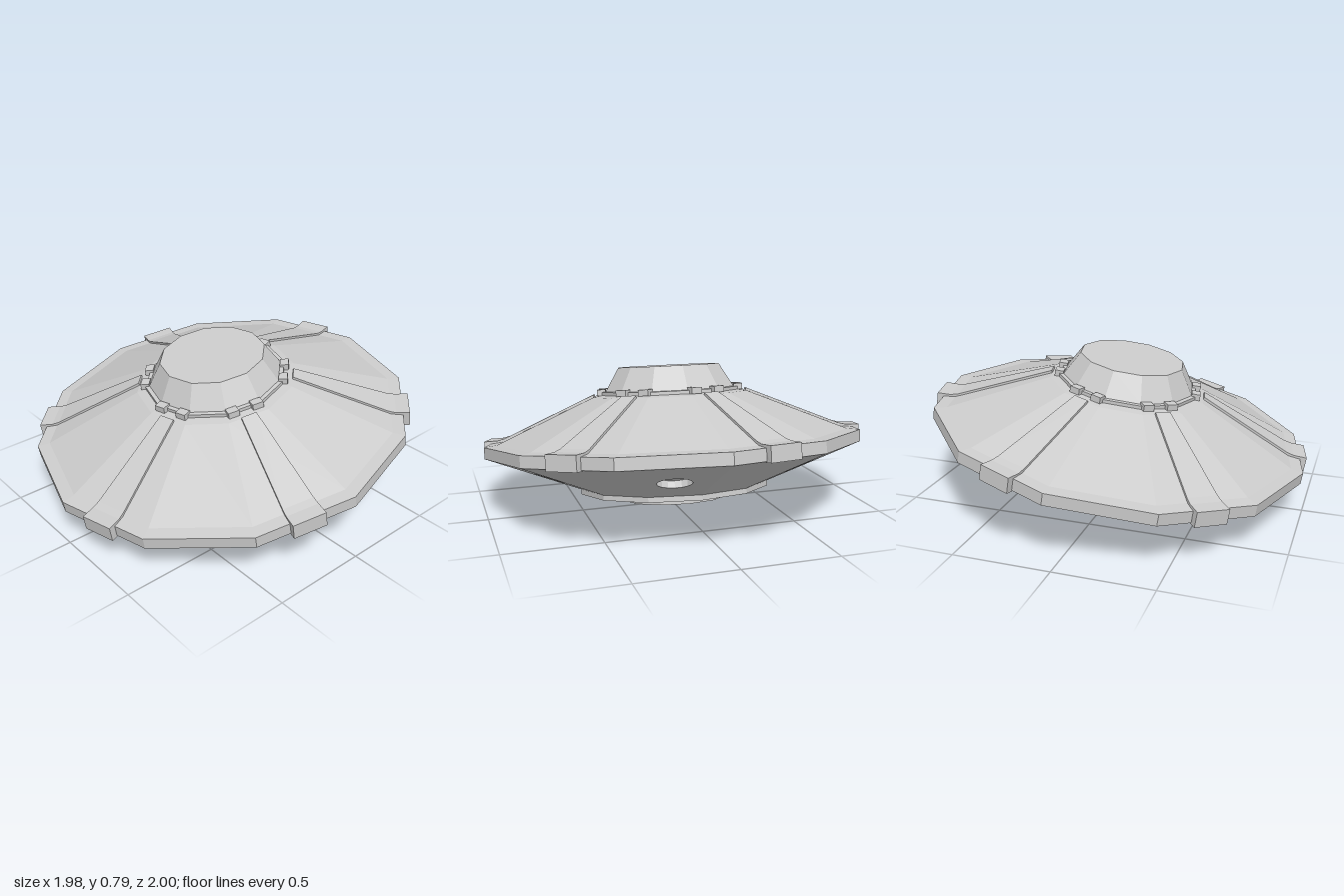
import * as THREE from 'three';

const SIDES = 12;
const STEP = (Math.PI * 2) / SIDES;
const APOTHEM = Math.cos(STEP / 2); // corner radius -> face-centre radius
const material = new THREE.MeshStandardMaterial({ color: 0xcccccc, flatShading: true, side: THREE.DoubleSide });

function part(name, geometry, parent) {
  const flat = geometry.index ? geometry.toNonIndexed() : geometry;
  flat.computeVertexNormals();
  const mesh = new THREE.Mesh(flat, material);
  mesh.name = name;
  parent.add(mesh);
  return mesh;
}

function turned(name, profile, parent) {
  const points = profile.map(([r, y]) => new THREE.Vector2(r, y));
  return part(name, new THREE.LatheGeometry(points, SIDES), parent);
}

// A group whose +x axis points out through the middle of one hull face
function faceGroup(name, index, parent) {
  const group = new THREE.Group();
  group.name = name;
  group.rotation.y = -(index + 0.5) * STEP;
  parent.add(group);
  return group;
}

// Side profile of a rib, extruded across and widened towards the rim
function ribGeometry() {
  const profile = [[0.4, 0.23], [0.41, 0.259], [0.89, 0.05], [0.93, 0.04], [1.0, 0.038], [1.0, -0.04], [0.93, -0.04], [0.88, 0.02]];
  const shape = new THREE.Shape(profile.map(([x, y]) => new THREE.Vector2(x, y)));
  const geometry = new THREE.ExtrudeGeometry(shape, { depth: 2, bevelEnabled: false });
  geometry.translate(0, 0, -1);
  const pos = geometry.attributes.position;
  for (let i = 0; i < pos.count; i++) {
    const t = Math.min(1, (pos.getX(i) - 0.4) / 0.55);
    pos.setZ(i, pos.getZ(i) * THREE.MathUtils.lerp(0.04, 0.086, t));
  }
  return geometry;
}

// Underside
const LOW = { r: 0.51, y: -0.235 };
const HIGH = { r: 1.0, y: -0.035 };
const PORT_RADIUS = 0.085;
const PORT_DEPTH = 0.035;

// One sloping underside panel, optionally with a sunken round port
function undersidePanel(index, hasPort, parent) {
  const face = faceGroup('undersidePanel', index, parent);
  const a0 = LOW.r * APOTHEM;
  const a1 = HIGH.r * APOTHEM;
  const up = new THREE.Vector3(a1 - a0, HIGH.y - LOW.y, 0);
  const length = up.length();
  up.normalize();
  const across = new THREE.Vector3(0, 0, -1);
  const normal = new THREE.Vector3().crossVectors(across, up);

  const plane = new THREE.Group();
  plane.name = 'panelPlane';
  plane.quaternion.setFromRotationMatrix(new THREE.Matrix4().makeBasis(across, up, normal));
  plane.position.set(a0, LOW.y, 0);
  face.add(plane);

  const w0 = LOW.r * Math.sin(STEP / 2);
  const w1 = HIGH.r * Math.sin(STEP / 2);
  const shape = new THREE.Shape([[-w0, 0], [w0, 0], [w1, length], [-w1, length]].map(([x, y]) => new THREE.Vector2(x, y)));
  if (hasPort) {
    const v = ((0.725 - a0) / (a1 - a0)) * length;
    shape.holes.push(new THREE.Path().absarc(0, v, PORT_RADIUS, 0, Math.PI * 2, true));
    const wall = new THREE.CylinderGeometry(PORT_RADIUS, PORT_RADIUS, PORT_DEPTH, 16, 1, true);
    wall.rotateX(Math.PI / 2);
    part('portWall', wall, plane).position.set(0, v, -PORT_DEPTH / 2);
    part('portFloor', new THREE.CircleGeometry(PORT_RADIUS, 16), plane).position.set(0, v, -PORT_DEPTH);
  }
  part('panel', new THREE.ShapeGeometry(shape, 8), plane);
}

export function createModel() {
  const model = new THREE.Group();
  model.name = 'saucer';

  // The whole craft leans to one side
  const craft = new THREE.Group();
  craft.name = 'craft';
  craft.position.set(-0.005, 0.357, 0);
  craft.rotation.set(0, THREE.MathUtils.degToRad(-2), THREE.MathUtils.degToRad(9), 'ZYX');
  model.add(craft);

  // Rim, upper hull and shoulder
  turned('upperHull', [[HIGH.r, HIGH.y], [1.0, 0.025], [0.935, 0.032], [0.42, 0.247], [0.34, 0.26]], craft);

  // Cabin with its collar
  turned('collar', [[0.372, 0.25], [0.372, 0.272], [0.34, 0.274]], craft);
  turned('cabin', [[0.352, 0.26], [0.35, 0.275], [0.276, 0.397], [0, 0.397]], craft);

  // Stepped rings under the belly
  turned('bellyRings', [
    [0, -0.275], [0.228, -0.275], [0.228, -0.315], [0.288, -0.315], [0.288, -0.235],
    [0.437, -0.235], [0.437, -0.262], [LOW.r, -0.262], [LOW.r, LOW.y],
  ], craft);

  // Ports and ribs alternate around the hull
  const rib = ribGeometry();
  for (let i = 0; i < SIDES; i++) {
    const hasPort = i % 2 === 0;
    undersidePanel(i, hasPort, craft);
    if (hasPort) continue;
    const face = faceGroup('ribGroup', i, craft);
    part('rib', rib, face);
    for (const side of [-1, 1]) {
      part('collarTooth', new THREE.BoxGeometry(0.045, 0.032, 0.058), face).position.set(0.362, 0.27, side * 0.066);
    }
  }
  return model;
}
